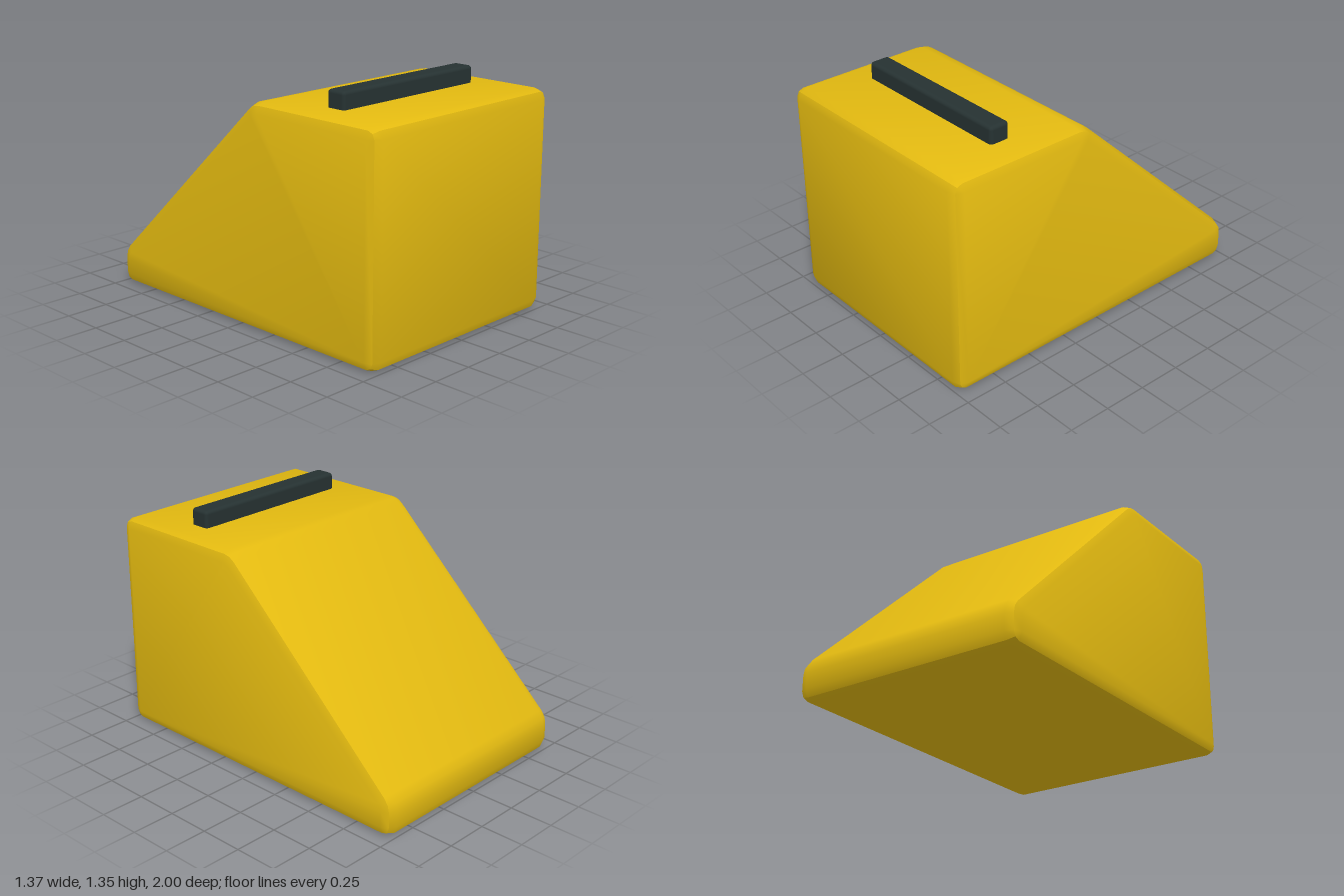
import * as THREE from 'three';
import { toCreasedNormals } from 'three/addons/utils/BufferGeometryUtils.js';
import { RoundedBoxGeometry } from 'three/addons/geometries/RoundedBoxGeometry.js';

const BEVEL = 0.06;
const HALF_WIDTH = 0.685;

// Side profile, counter-clockwise: [toward the back, height, corner radius]
const PROFILE = [
  [-1, 0, 0.06], [1, 0, 0.06], [1, 0.2, 0.12], [-0.13, 1.25, 0.12], [-1, 1.25, 0.06],
];

// Profile moved inwards by inset, each corner rounded with two segments
function profileLoop(inset, x) {
  const corners = PROFILE.map(([u, y]) => new THREE.Vector2(u, y));
  const n = corners.length;
  const normal = (i) => {
    const d = corners[(i + 1) % n].clone().sub(corners[i % n]).normalize();
    return new THREE.Vector2(d.y, -d.x);
  };
  const loop = [];
  corners.forEach((corner, i) => {
    const before = normal(i + n - 1), after = normal(i), radius = PROFILE[i][2];
    const middle = before.clone().add(after);
    const centre = corner.clone().addScaledVector(middle, -radius / (1 + before.dot(after)));
    for (const dir of [before, middle.normalize(), after]) {
      const p = centre.clone().addScaledVector(dir, radius - inset);
      loop.push(new THREE.Vector3(x, p.y, -p.x));
    }
  });
  return loop;
}

// Wedge made from cross-sections running from one side to the other
function wedgeGeometry() {
  const mid = BEVEL * (1 - Math.SQRT1_2);
  const sections = [[BEVEL, 0], [mid, mid], [0, BEVEL]];
  const rings = [
    ...sections.map(([inset, depth]) => profileLoop(inset, depth - HALF_WIDTH)),
    ...sections.reverse().map(([inset, depth]) => profileLoop(inset, HALF_WIDTH - depth)),
  ];
  const positions = [];
  const tri = (a, b, c) => {
    const area = b.clone().sub(a).cross(c.clone().sub(a)).length();
    if (area > 1e-8) for (const p of [a, b, c]) positions.push(p.x, p.y, p.z);
  };
  const count = rings[0].length;
  for (let r = 0; r < rings.length - 1; r++) {
    for (let j = 0; j < count; j++) {
      const k = (j + 1) % count;
      tri(rings[r][j], rings[r][k], rings[r + 1][k]);
      tri(rings[r][j], rings[r + 1][k], rings[r + 1][j]);
    }
  }
  // Flat sides
  const left = rings[rings.length - 1], right = rings[0];
  for (let j = 1; j < count - 1; j++) {
    tri(left[0], left[j], left[j + 1]);
    tri(right[0], right[j + 1], right[j]);
  }
  const geometry = new THREE.BufferGeometry();
  geometry.setAttribute('position', new THREE.Float32BufferAttribute(positions, 3));
  return toCreasedNormals(geometry, 0.6);
}

export function createModel() {
  const yellow = new THREE.MeshStandardMaterial({ color: 0xe2b910 });
  yellow.name = 'yellow';
  const charcoal = new THREE.MeshStandardMaterial({ color: 0x263232 });
  charcoal.name = 'charcoal';

  const model = new THREE.Group();
  model.name = 'wedgeBlock';

  const body = new THREE.Mesh(wedgeGeometry(), yellow);
  body.name = 'wedgeBody';
  model.add(body);

  // Dark bar across the flat top
  const bar = new THREE.Mesh(new RoundedBoxGeometry(1, 0.115, 0.12, 2, 0.02), charcoal);
  bar.name = 'topBar';
  bar.position.set(0, 1.2875, 0.56);
  model.add(bar);

  return model;
}
